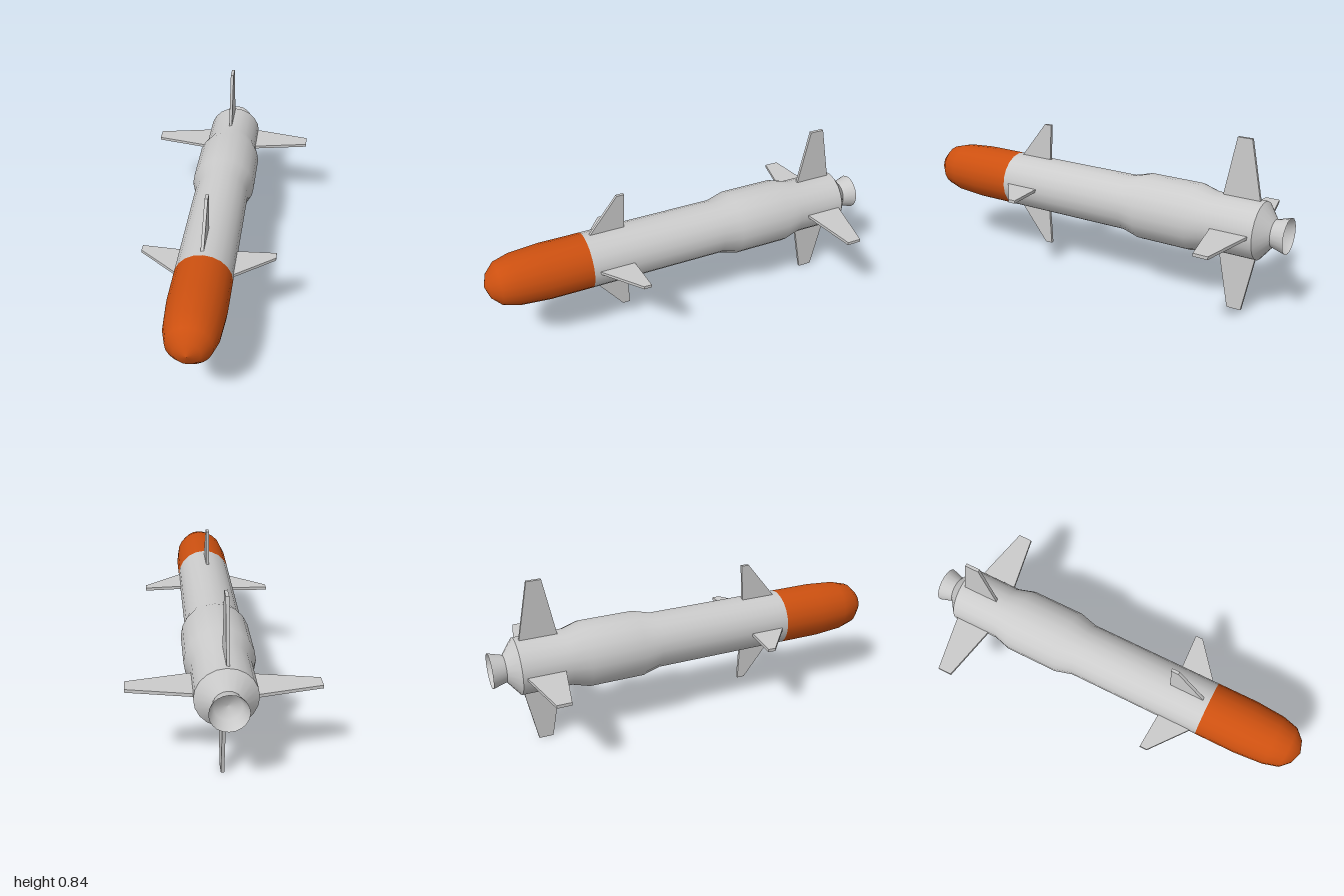
import * as THREE from 'three';

const SIDES = 20;
const AXIS_Y = 0.42;
const BODY_R = 0.138;

const grey = new THREE.MeshStandardMaterial({ color: 0xcccccc });
const greyDouble = new THREE.MeshStandardMaterial({ color: 0xcccccc, side: THREE.DoubleSide });
const orange = new THREE.MeshStandardMaterial({ color: 0xcc5010 });

// Round part along z from [radius, z] points running from back to front
function turned(name, profile, material) {
  const points = profile.map(([r, z]) => new THREE.Vector2(r, z));
  const geometry = new THREE.LatheGeometry(points, SIDES);
  geometry.rotateX(Math.PI / 2);
  const mesh = new THREE.Mesh(geometry, material);
  mesh.name = name;
  return mesh;
}

// Four flat fins set pinwheel-fashion around the axis, from [z, radius] corners
function finSet(name, corners) {
  const shape = new THREE.Shape(corners.map(([z, r]) => new THREE.Vector2(z, r)));
  const geometry = new THREE.ExtrudeGeometry(shape, { depth: 0.015, bevelEnabled: false });
  geometry.rotateY(-Math.PI / 2);
  const set = new THREE.Group();
  set.name = name + 's';
  for (let i = 0; i < 4; i++) {
    const fin = new THREE.Mesh(geometry, grey);
    fin.name = name;
    fin.rotation.z = i * Math.PI / 2;
    set.add(fin);
  }
  return set;
}

export function createModel() {
  const model = new THREE.Group();
  model.name = 'missile';
  const assembly = new THREE.Group();
  assembly.name = 'airframe';
  assembly.position.y = AXIS_Y;
  model.add(assembly);

  // Rounded nose
  assembly.add(turned('nose', [
    [BODY_R, 0.5], [BODY_R, 0.71], [0.127, 0.855], [0.105, 0.935], [0.06, 0.98], [0, 1],
  ], orange));

  // Tube body with a thicker section
  assembly.add(turned('body', [
    [BODY_R, -0.875], [BODY_R, -0.635], [0.162, -0.55], [0.162, -0.28],
    [BODY_R, -0.19], [BODY_R, 0.5],
  ], grey));

  // Tapered tail and flared nozzle with a hollow bowl
  assembly.add(turned('tailCone', [[0, -0.932], [0.065, -0.932]], grey));
  assembly.add(turned('tailCone', [[0.065, -0.932], [BODY_R, -0.875]], grey));
  assembly.add(turned('nozzle', [[0.085, -1], [0.065, -0.932]], grey));
  assembly.add(turned('nozzleBowl', [[0, -0.935], [0.06, -0.945], [0.085, -1]], greyDouble));

  // Swept front fins and larger tail fins
  assembly.add(finSet('frontFin', [[0.475, 0.13], [0.325, 0.322], [0.287, 0.322], [0.297, 0.13]]));
  assembly.add(finSet('tailFin', [[-0.672, 0.13], [-0.728, 0.42], [-0.798, 0.42], [-0.856, 0.13]]));

  return model;
}
